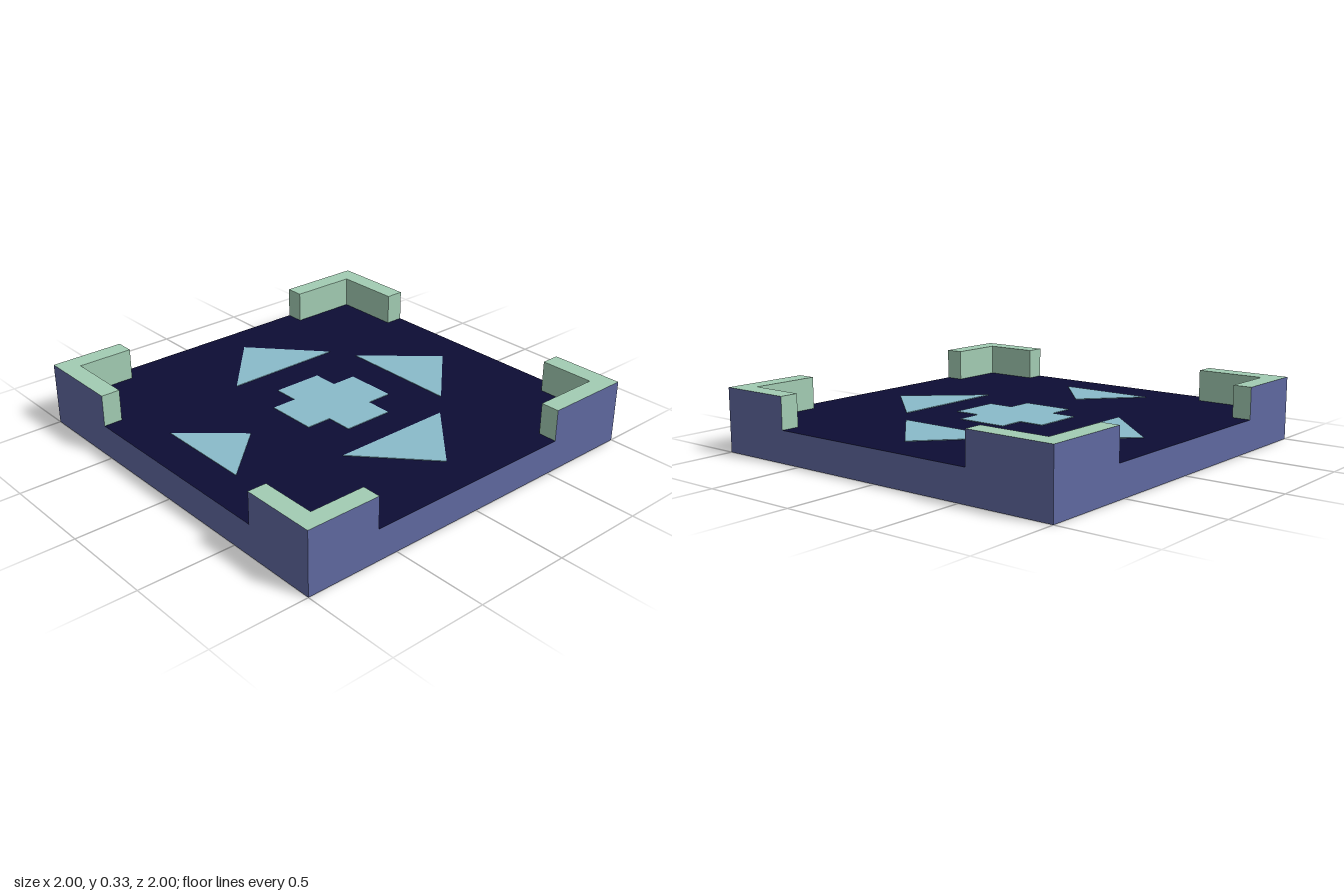
import * as THREE from 'three';

const BASE_H = 0.163, TOP = 0.327, WALL = 0.098;

export function createModel() {
  const model = new THREE.Group();
  model.name = 'floorTile';

  const mat = (name, color) => {
    const m = new THREE.MeshStandardMaterial({ color });
    m.name = name;
    return m;
  };
  const violet = mat('slate violet', 0x5f68a0);
  const navy = mat('dark navy', 0x0d0d34);
  const green = mat('pale green', 0xa2ccb3);
  const sky = mat('soft blue', 0x89bbca);

  // Box between two corners; materials in the order +x, -x, +y, -y, +z, -z
  const box = (parent, name, x0, x1, y0, y1, z0, z1, materials) => {
    const mesh = new THREE.Mesh(
      new THREE.BoxGeometry(Math.abs(x1 - x0), y1 - y0, Math.abs(z1 - z0)), materials);
    mesh.position.set((x0 + x1) / 2, (y0 + y1) / 2, (z0 + z1) / 2);
    mesh.name = name;
    parent.add(mesh);
  };

  // Slab with a dark top
  box(model, 'base', -1, 1, 0, BASE_H, -1, 1, [violet, violet, navy, violet, violet, violet]);

  // L-shaped corner walls: outer faces match the slab, the rest are green
  for (const sx of [-1, 1]) {
    for (const sz of [-1, 1]) {
      const corner = new THREE.Group();
      corner.name = (sz > 0 ? 'front' : 'back') + (sx > 0 ? 'Left' : 'Right') + 'Corner';
      const xEnd = sx > 0 ? 0.54 : -0.61;
      const zEnd = sz > 0 ? 0.61 : -0.54;
      const outerX = sx > 0 ? 0 : 1, outerZ = sz > 0 ? 4 : 5;
      const faces = (...outer) =>
        [0, 1, 2, 3, 4, 5].map((i) => (outer.includes(i) ? violet : green));
      box(corner, 'wallAlongX', sx, xEnd, BASE_H, TOP, sz, sz * (1 - WALL), faces(outerX, outerZ));
      box(corner, 'wallAlongZ', sx, sx * (1 - WALL), BASE_H, TOP, sz * (1 - WALL), zEnd, faces(outerX));
      model.add(corner);
    }
  }

  // Thin floor inlays, outlined in (x, z)
  const inlay = (name, points) => {
    const shape = new THREE.Shape(points.map(([x, z]) => new THREE.Vector2(x, -z)));
    const geo = new THREE.ExtrudeGeometry(shape, { depth: 0.003, bevelEnabled: false });
    geo.rotateX(-Math.PI / 2);
    const mesh = new THREE.Mesh(geo, sky);
    mesh.position.y = BASE_H;
    mesh.name = name;
    model.add(mesh);
  };
  inlay('backArrow', [[-0.255, -0.46], [0.385, -0.46], [0.065, -0.815]]);
  inlay('frontArrow', [[-0.315, 0.44], [0.33, 0.44], [0.01, 0.795]]);
  inlay('rightArrow', [[-0.8, -0.27], [-0.8, 0.255], [-0.51, -0.01]]);
  inlay('leftArrow', [[0.46, -0.33], [0.46, 0.32], [0.81, -0.01]]);
  inlay('cross', [
    [-0.125, -0.28], [0.14, -0.28], [0.14, -0.145], [0.275, -0.145],
    [0.275, 0.125], [0.14, 0.125], [0.14, 0.265], [-0.125, 0.265],
    [-0.125, 0.125], [-0.26, 0.125], [-0.26, -0.145], [-0.125, -0.145],
  ]);

  return model;
}
